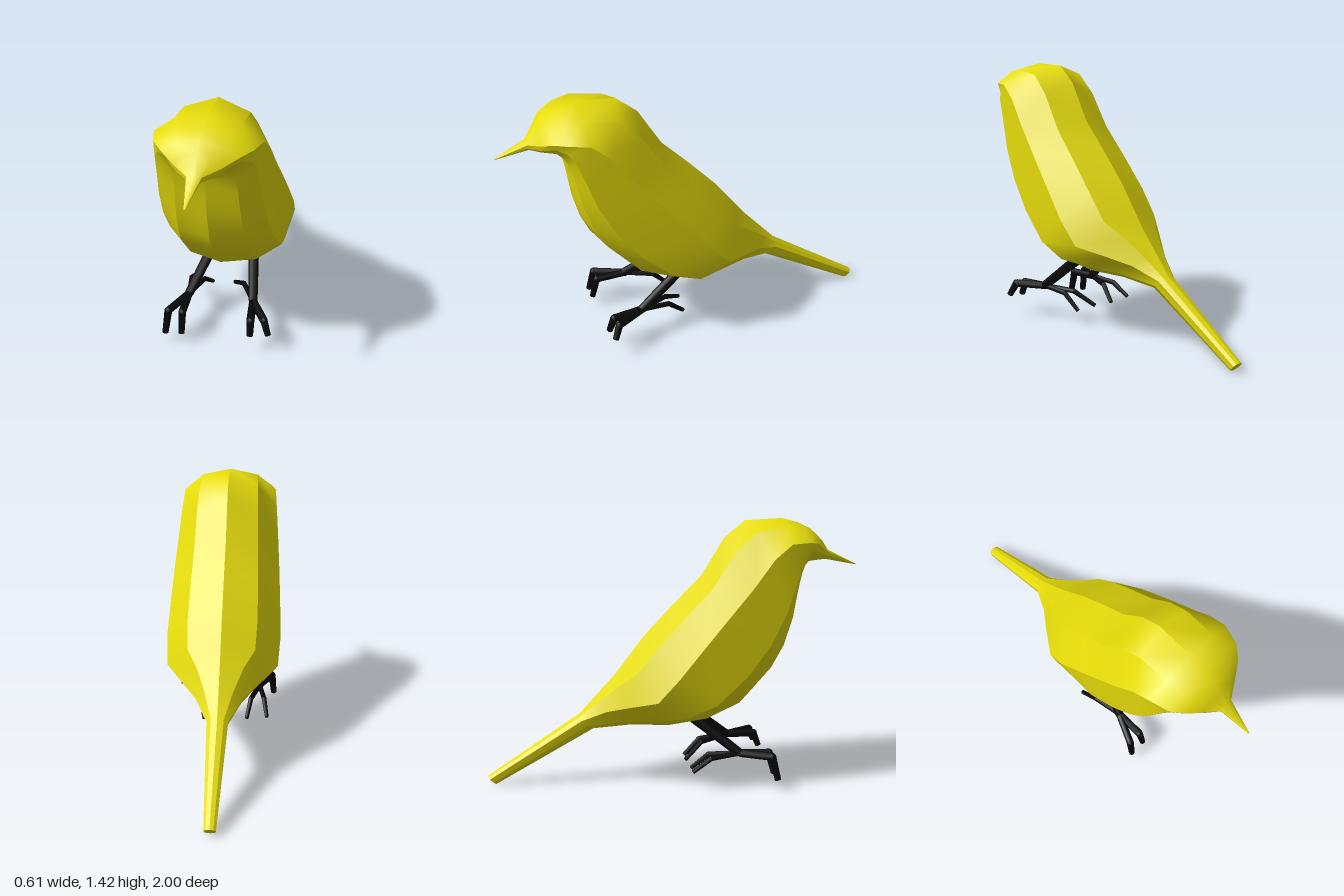
import * as THREE from 'three';

const yellow = new THREE.MeshStandardMaterial({ color: 0xe6dc0a });
const black = new THREE.MeshStandardMaterial({ color: 0x060606 });

// Ten-sided slanted sections, beak to tail: z,y of back, upper flank, lower flank, belly; then half width
const SECTIONS = [
  [1.0, 1.172, 1.0, 1.171, 1.0, 1.169, 1.0, 1.168, 0.003],
  [0.84, 1.25, 0.84, 1.24, 0.84, 1.22, 0.83, 1.2, 0.035],
  [0.79, 1.32, 0.79, 1.265, 0.79, 1.235, 0.78, 1.195, 0.11],
  [0.74, 1.365, 0.74, 1.3, 0.73, 1.265, 0.71, 1.185, 0.18],
  [0.68, 1.395, 0.68, 1.31, 0.685, 1.26, 0.685, 1.16, 0.23],
  [0.59, 1.42, 0.58, 1.305, 0.65, 1.215, 0.67, 1.12, 0.258],
  [0.39, 1.41, 0.49, 1.23, 0.61, 1.1, 0.655, 1.03, 0.266],
  [0.28, 1.32, 0.38, 1.085, 0.56, 0.95, 0.64, 0.9, 0.278],
  [0.16, 1.12, 0.27, 0.955, 0.48, 0.79, 0.605, 0.76, 0.288],
  [0.02, 0.98, 0.14, 0.8, 0.36, 0.63, 0.56, 0.66, 0.298],
  [-0.14, 0.81, 0, 0.63, 0.2, 0.48, 0.39, 0.46, 0.306],
  [-0.24, 0.68, -0.11, 0.505, 0.04, 0.41, 0.21, 0.37, 0.295],
  [-0.3, 0.6, -0.25, 0.46, -0.1, 0.375, 0, 0.322, 0.2],
  [-0.4, 0.49, -0.36, 0.42, -0.27, 0.36, -0.22, 0.322, 0.12],
  [-0.5, 0.38, -0.49, 0.355, -0.46, 0.325, -0.42, 0.3, 0.055],
  [-0.995, 0.05, -0.985, 0.038, -0.965, 0.018, -0.95, 0.003, 0.03],
];
const HEAD_END = 5; // sections up to here are shaded round

function sectionRing([tz, ty, uz, uy, lz, ly, bz, by, w]) {
  const mix = (a, b) => a + (b - a) * 0.275;
  const half = [
    [0, ty, tz],
    [w * 0.6, mix(ty, uy), mix(tz, uz)],
    [w, uy, uz],
    [w * 0.92, ly, lz],
    [w * 0.57, mix(by, ly), mix(bz, lz)],
    [0, by, bz],
  ];
  const other = half.slice(1, 5).reverse().map(([x, y, z]) => [-x, y, z]);
  // the bird is turned very slightly about the vertical axis
  return [...half, ...other].map(([x, y, z]) => [x - 0.035 * z, y, z]);
}

function bodyGeometry() {
  const rings = SECTIONS.map(sectionRing);
  const n = rings[0].length;
  // two copies of each corner: strips are smooth lengthwise, with edges between them
  const points = rings.flatMap((ring) => ring.flatMap((p) => [p, p]));
  const id = (i, k, strip) => {
    const round = i <= HEAD_END && ![2, 3, 7, 8].includes(k);
    return (i * n + k) * 2 + (round || k === strip ? 0 : 1);
  };
  const index = [];
  for (let i = 0; i < rings.length - 1; i++) {
    for (let k = 0; k < n; k++) {
      const k2 = (k + 1) % n;
      const a = id(i, k, k), b = id(i, k2, k), c = id(i + 1, k, k), d = id(i + 1, k2, k);
      index.push(a, b, c, b, d, c);
    }
  }
  // tail end cap
  const cap = points.length;
  points.push(...rings[rings.length - 1]);
  for (let k = 1; k < n - 1; k++) index.push(cap, cap + k, cap + k + 1);
  const geo = new THREE.BufferGeometry();
  geo.setAttribute('position', new THREE.Float32BufferAttribute(points.flat(), 3));
  geo.setIndex(index);
  geo.computeVertexNormals();
  return geo;
}

// Tapered rod between two points
function rod(name, from, to, r0, r1) {
  const a = new THREE.Vector3(...from), b = new THREE.Vector3(...to);
  const dir = b.clone().sub(a);
  const geo = new THREE.CylinderGeometry(r1, r0, dir.length(), 8);
  const mesh = new THREE.Mesh(geo, black);
  mesh.name = name;
  mesh.position.copy(a).add(b).multiplyScalar(0.5);
  mesh.quaternion.setFromUnitVectors(new THREE.Vector3(0, 1, 0), dir.normalize());
  return mesh;
}

// Shank with two toes forward and two back
function createLeg(name, hip, ankle, toes) {
  const leg = new THREE.Group();
  leg.name = name;
  leg.add(rod('shank', hip, ankle, 0.029, 0.024));
  for (const [toe, knuckle, tip, r] of toes) {
    leg.add(rod(toe, ankle, knuckle, r, r));
    const joint = new THREE.Mesh(new THREE.SphereGeometry(r, 8, 6), black);
    joint.name = toe + 'Joint';
    joint.position.set(...knuckle);
    leg.add(joint, rod(toe + 'Claw', knuckle, tip, r, r * 0.8));
  }
  return leg;
}

export function createModel() {
  const bird = new THREE.Group();
  bird.name = 'bird';

  const body = new THREE.Mesh(bodyGeometry(), yellow);
  body.name = 'body';
  bird.add(body);

  bird.add(createLeg('rightLeg', [-0.1, 0.39, 0.08], [-0.2, 0.19, 0.34], [
    ['outerFrontToe', [-0.275, 0.185, 0.5], [-0.288, 0.06, 0.53], 0.021],
    ['innerFrontToe', [-0.2, 0.185, 0.5], [-0.2, 0.07, 0.53], 0.021],
    ['outerBackToe', [-0.225, 0.175, 0.18], [-0.24, 0.11, 0.08], 0.014],
    ['innerBackToe', [-0.15, 0.175, 0.18], [-0.126, 0.095, 0.09], 0.014],
  ]));
  bird.add(createLeg('leftLeg', [0.105, 0.39, 0.08], [0.15, 0.19, 0.34], [
    ['outerFrontToe', [0.235, 0.19, 0.49], [0.262, 0.12, 0.52], 0.021],
    ['innerFrontToe', [0.165, 0.185, 0.5], [0.168, 0.11, 0.53], 0.021],
    ['outerBackToe', [0.135, 0.175, 0.18], [0.115, 0.09, 0.09], 0.014],
    ['innerBackToe', [0.07, 0.175, 0.18], [0, 0.1, 0.08], 0.014],
  ]));
  return bird;
}
